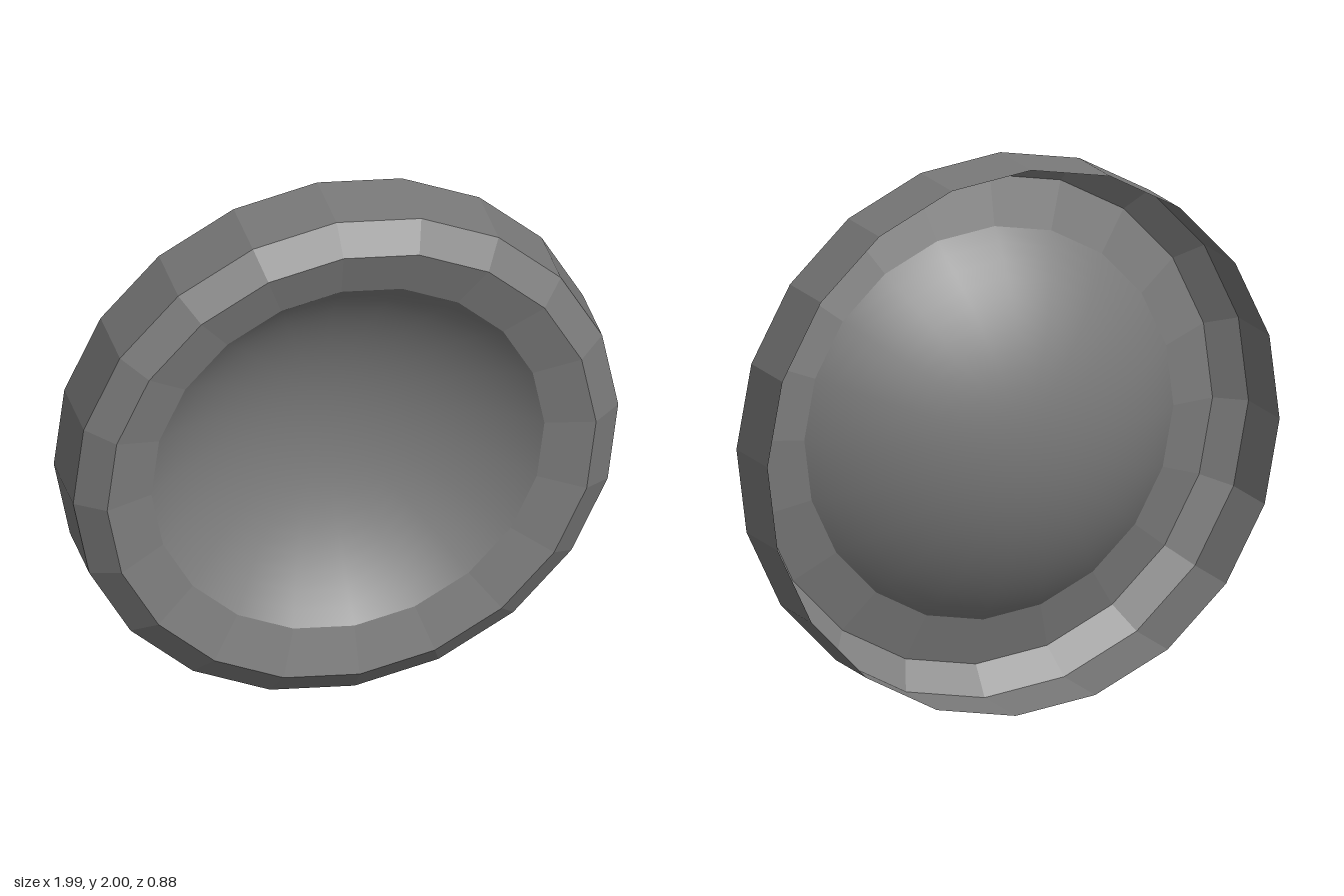
import * as THREE from 'three';

const SIDES = 20;
const DEG = Math.PI / 180;
const ROLL = 2.3 * DEG;
const COLOR = 0x7b7b7b;

export function createModel() {
  const model = new THREE.Group();
  model.name = 'lensRing';

  // Faceted rim: thin cylinder wall, front bevel, then a lip sloping inwards
  const lipRadius = 0.721;
  const lipDepth = 0.12;
  const profile = [
    [1, -0.17], [1, 0.09], [0.897, 0.17], [lipRadius, lipDepth],
  ].map(([r, d]) => new THREE.Vector2(r, d));
  const rimGeometry = new THREE.LatheGeometry(profile, SIDES);
  rimGeometry.rotateX(Math.PI / 2);
  rimGeometry.rotateZ(ROLL);
  const rim = new THREE.Mesh(rimGeometry, new THREE.MeshStandardMaterial({
    color: COLOR, flatShading: true, side: THREE.DoubleSide,
  }));
  rim.name = 'rim';

  // Smooth shallow lens bulging backwards, its edge meeting the lip corner for corner
  const radius = 1.07;
  const halfAngle = Math.asin(lipRadius / radius);
  const lensGeometry = new THREE.SphereGeometry(
    radius, SIDES, 12, 0, Math.PI * 2, 0, halfAngle);
  lensGeometry.rotateX(-Math.PI / 2);
  lensGeometry.rotateZ(ROLL);
  lensGeometry.translate(0, 0, lipDepth + radius * Math.cos(halfAngle));
  const lens = new THREE.Mesh(lensGeometry, new THREE.MeshStandardMaterial({
    color: COLOR, side: THREE.DoubleSide,
  }));
  lens.name = 'lens';

  // Whole disc, standing upright and turned to one side
  const disc = new THREE.Group();
  disc.name = 'disc';
  disc.add(rim, lens);
  disc.rotation.set(0.013, -17 * DEG, 0);
  disc.position.set(-0.007, 1, 0.014);
  model.add(disc);
  return model;
}
